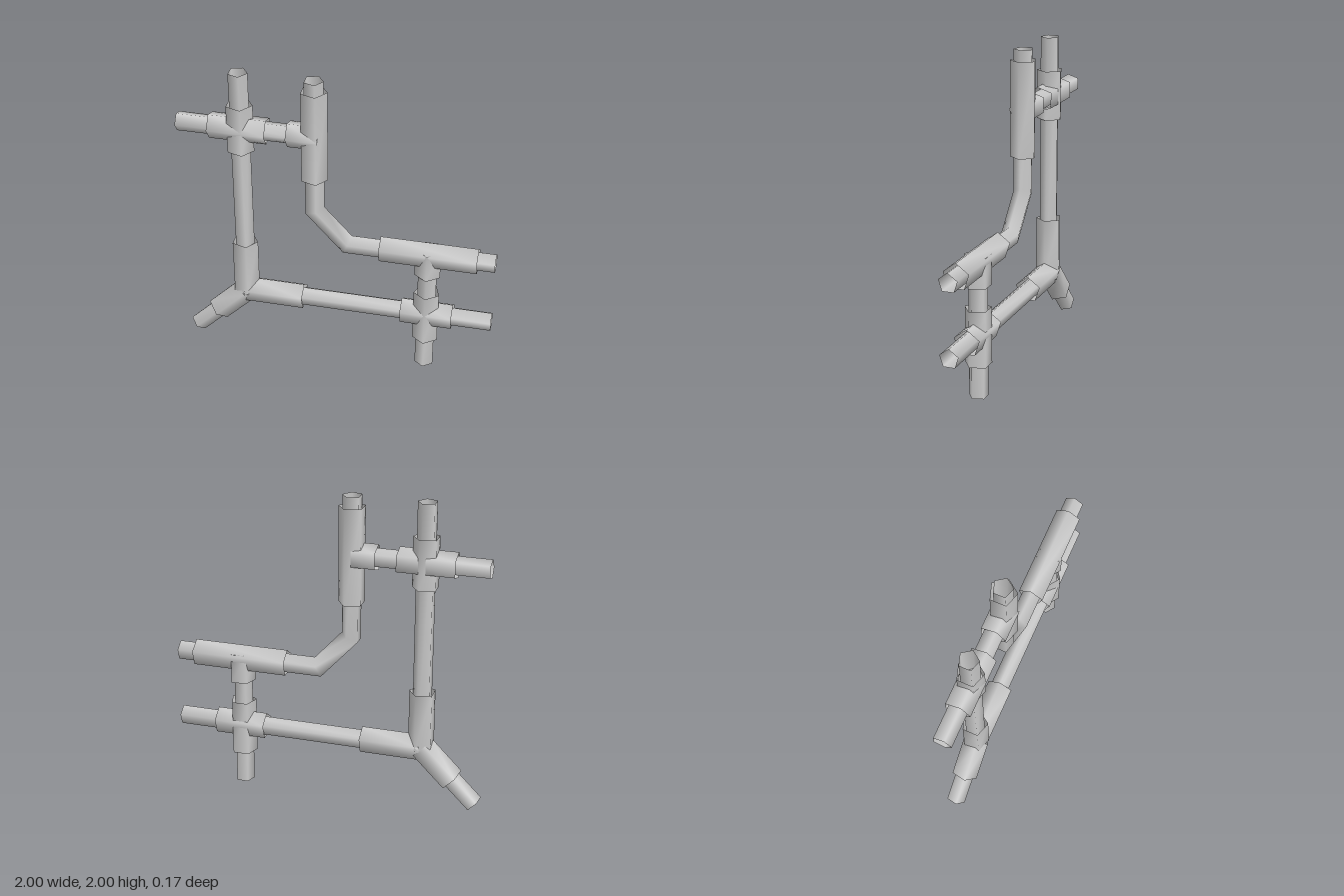
import * as THREE from 'three';

const SIDES = 5, PIPE = 0.062, COLLAR = 0.085;
const material = new THREE.MeshStandardMaterial({ color: 0xcccccc, side: THREE.DoubleSide });

// Open five-sided tube swept along a path in the xy plane, with mitred corners.
// One edge of the pentagon lies to the right of the path, or to the front.
function tube(name, radius, edge, points) {
  const path = points.map(([x, y]) => new THREE.Vector2(x, y));
  const positions = [], index = [];
  const direction = (i) => path[i + 1].clone().sub(path[i]).normalize();
  const turn = edge === 'front' ? Math.PI / 2 : 0;

  path.forEach((p, i) => {
    const before = direction(Math.max(i - 1, 0));
    const after = direction(Math.min(i, path.length - 2));
    const along = before.clone().add(after).normalize();
    const mitre = 1 / along.dot(before);
    for (let j = 0; j < SIDES; j++) {
      const angle = turn + (j / SIDES) * Math.PI * 2;
      const out = radius * Math.cos(angle) * mitre;
      positions.push(p.x + along.y * out, p.y - along.x * out, radius * Math.sin(angle));
    }
  });
  for (let i = 0; i < path.length - 1; i++) {
    for (let j = 0; j < SIDES; j++) {
      const a = i * SIDES + j, b = i * SIDES + (j + 1) % SIDES;
      index.push(a, a + SIDES, b, b, a + SIDES, b + SIDES);
    }
  }
  const geometry = new THREE.BufferGeometry();
  geometry.setAttribute('position', new THREE.Float32BufferAttribute(positions, 3));
  geometry.setIndex(index);
  geometry.computeVertexNormals();
  const mesh = new THREE.Mesh(geometry, material);
  mesh.name = name;
  return mesh;
}

function fitting(name, ...arms) {
  const group = new THREE.Group();
  group.name = name;
  arms.forEach(([edge, from, to], i) => group.add(tube(`${name}Arm${i + 1}`, COLLAR, edge, [from, to])));
  return group;
}

export function createModel() {
  const model = new THREE.Group();
  model.name = 'pipework';

  // Centre lines of the pipe runs
  const left = -0.605, middle = -0.145, right = 0.58;
  const low = 0.405, shelf = 0.865, high = 1.62;
  const poke = 0.037; // tee branches run slightly past the main centre line

  // Pipes
  model.add(
    tube('bentPipe', PIPE, 'side', [[1, shelf], [0.065, shelf], [middle, 1.095], [middle, 2]]),
    tube('leftUprightPipe', PIPE, 'side', [[left, low], [left, 2]]),
    tube('lowerPipe', PIPE, 'side', [[1, low], [left, low]]),
    tube('upperPipe', PIPE, 'front', [[-1, high], [middle, high]]),
    tube('rightUprightPipe', PIPE, 'front', [[right, 0], [right, shelf]]),
    tube('diagonalPipe', PIPE, 'front', [[-0.952, 0.058], [left, low]]),
  );

  // Collar fittings: two crosses, two tees and a three-way corner
  model.add(
    fitting('upperCross',
      ['side', [left, 1.465], [left, 1.785]],
      ['front', [-0.795, high], [-0.435, high]]),
    fitting('lowerCross',
      ['side', [0.75, low], [0.42, low]],
      ['front', [right, 0.21], [right, 0.57]]),
    fitting('upperTee',
      ['side', [middle, 1.32], [middle, 1.93]],
      ['front', [-0.305, high], [middle + poke, high]]),
    fitting('shelfTee',
      ['side', [0.89, shelf], [0.275, shelf]],
      ['front', [right, 0.71], [right, shelf + poke]]),
    fitting('cornerFitting',
      ['side', [left, low], [left, 0.785]],
      ['side', [-0.22, low], [left, low]],
      ['front', [-0.803, 0.207], [left, low]]),
  );
  return model;
}
